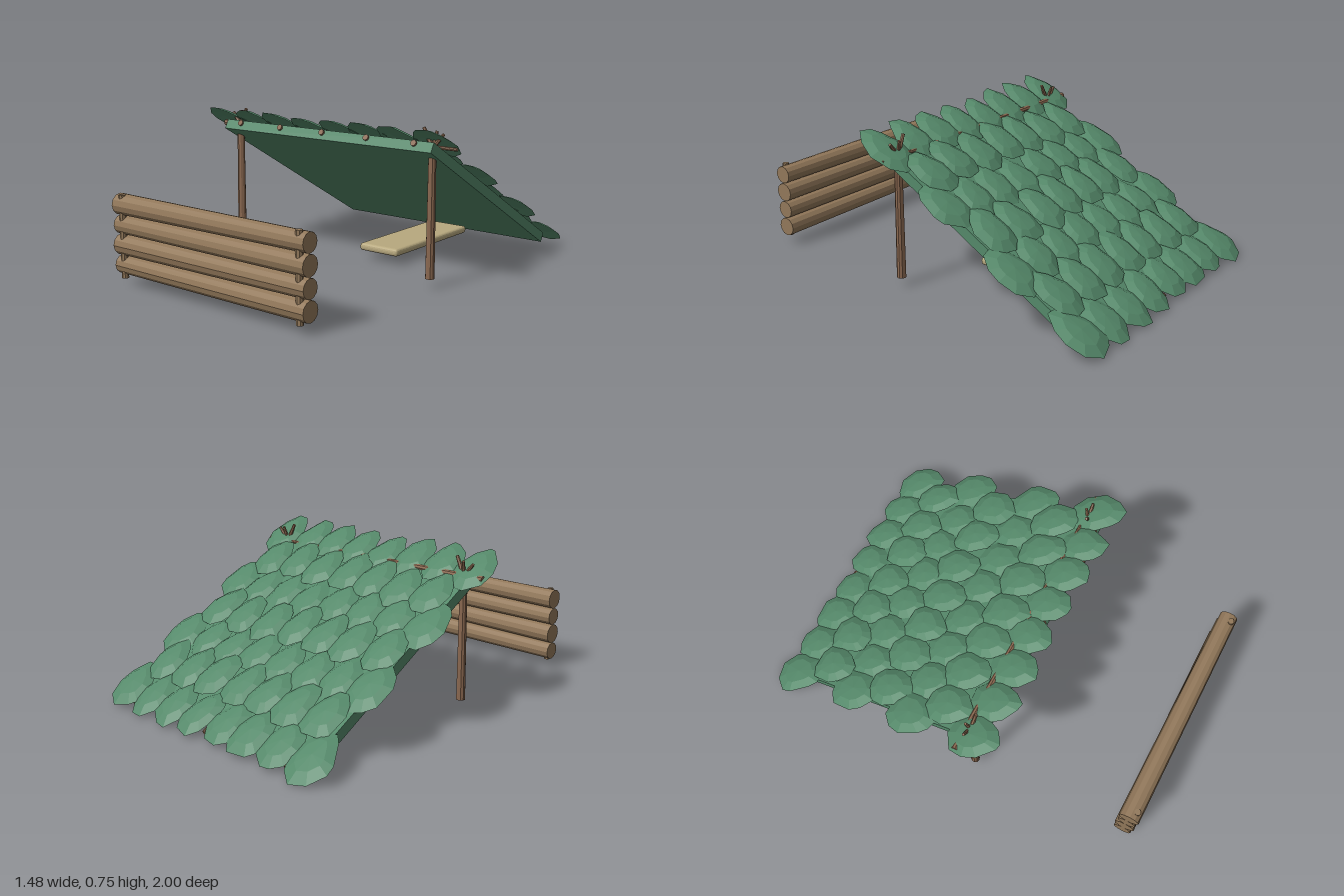
import * as THREE from 'three';
import { RoundedBoxGeometry } from 'three/addons/geometries/RoundedBoxGeometry.js';

const mat = (name, color, extra = {}) => {
  const m = new THREE.MeshStandardMaterial({ color, flatShading: true, ...extra });
  m.name = name;
  return m;
};

// Small seeded random generator
function seeded(seed) {
  return () => {
    seed = (seed * 16807) % 2147483647;
    return seed / 2147483647;
  };
}

// Tapered round bar from point a to point b
function bar(name, a, b, ra, rb, sides, material) {
  const from = new THREE.Vector3(...a), to = new THREE.Vector3(...b);
  const dir = to.clone().sub(from);
  const mesh = new THREE.Mesh(new THREE.CylinderGeometry(rb, ra, dir.length(), sides), material);
  mesh.position.copy(from).add(to).multiplyScalar(0.5);
  mesh.quaternion.setFromUnitVectors(new THREE.Vector3(0, 1, 0), dir.normalize());
  mesh.name = name;
  return mesh;
}

// Shallow domed leaf, narrower towards +z, with a slightly uneven outline
function leafGeometry(w, l, rand) {
  const n = 10, pos = [0, 0.026, 0], index = [];
  const outline = [];
  for (let i = 0; i < n; i++) {
    const a = ((i + (rand() - 0.5) * 0.5) / n) * Math.PI * 2;
    const s = Math.sin(a), r = 0.94 + rand() * 0.12;
    outline.push([w * r * Math.cos(a) * (1 - 0.22 * s), l * r * s]);
  }
  for (const [k, y] of [[0.6, 0.02], [1, 0]]) {
    for (const [x, z] of outline) pos.push(x * k, y, z * k);
  }
  for (let i = 0; i < n; i++) {
    const a = 1 + i, b = 1 + ((i + 1) % n);
    index.push(0, b, a, a, b, a + n, b, b + n, a + n);
  }
  const g = new THREE.BufferGeometry();
  g.setAttribute('position', new THREE.Float32BufferAttribute(pos, 3));
  g.setIndex(index);
  g.computeVertexNormals();
  return g;
}

export function createModel() {
  const model = new THREE.Group();
  model.name = 'leanToShelter';
  const green = mat('leafGreen', 0x55896a, { side: THREE.DoubleSide });
  const logWood = mat('logBrown', 0x92785a);
  const bark = mat('barkBrown', 0x8a6850);
  const plank = mat('paleWood', 0xb8a97f);
  const rand = seeded(4271);

  // Sloping roof: local +z runs up the slope, y = 0 is its upper surface
  const roof = new THREE.Group();
  roof.name = 'roof';
  roof.position.set(0, 0.368, -0.345);
  roof.rotation.x = -Math.PI / 6;
  model.add(roof);

  const slab = new THREE.Mesh(new THREE.BoxGeometry(1.26, 0.05, 1.224), green);
  slab.name = 'roofSlab';
  slab.position.y = -0.025;
  roof.add(slab);

  for (let i = -2; i <= 2; i++) {
    const x = i * 0.265;
    roof.add(bar('rafter', [x, -0.015, -0.68], [x, -0.015, 0.622], 0.015, 0.015, 8, bark));
  }

  // Leaf covering: wide rows below, offset rows laid over them
  for (let row = 0; row < 7; row++) {
    const over = row % 2, count = 8 - over;
    for (let i = 0; i < count; i++) {
      const x = (i - (count - 1) / 2) * 0.177;
      const outer = !over && (i === 0 || i === count - 1);
      const w = outer ? 0.11 : 0.102, l = outer ? 0.15 : 0.138;
      const leaf = new THREE.Mesh(leafGeometry(w, l, rand), green);
      leaf.name = 'leaf';
      leaf.position.set(x + (rand() - 0.5) * 0.02, 0.002 + over * 0.01 + rand() * 0.005,
        -0.6 + row * 0.2 + (rand() - 0.5) * 0.03);
      leaf.rotation.y = (rand() - 0.5) * 0.4;
      roof.add(leaf);
    }
  }

  // Ridge beam resting in the forked posts
  model.add(bar('ridgeBeam', [-0.71, 0.645, 0.12], [0.71, 0.642, 0.12], 0.017, 0.008, 8, bark));
  for (const s of [-1, 1]) {
    const post = new THREE.Group();
    post.name = 'forkedPost';
    const foot = [s * 0.59, 0.64, 0.135];
    post.add(
      bar('post', [s * 0.59, 0.04, 0.14], [s * 0.59, 0.66, 0.135], 0.022, 0.018, 10, bark),
      bar('innerProng', foot, [s * 0.545, 0.73, 0.14], 0.011, 0.008, 6, bark),
      bar('outerProng', foot, [s * 0.645, 0.705, 0.13], 0.011, 0.007, 6, bark),
      bar('rearProng', foot, [s * 0.6, 0.715, 0.115], 0.01, 0.007, 6, bark),
    );
    model.add(post);
  }

  // Log wall held by two stakes, logs tapering in alternate directions
  const wall = new THREE.Group();
  wall.name = 'logWall';
  for (let i = 0; i < 4; i++) {
    const [ra, rb] = i % 2 ? [0.05, 0.044] : [0.044, 0.047];
    wall.add(bar('log', [-0.57, 0.088 + i * 0.094, 0.947], [0.57, 0.088 + i * 0.094, 0.95], ra, rb, 12, logWood));
  }
  for (const s of [-1, 1]) {
    wall.add(bar('stake', [s * 0.53, 0.03, 0.968], [s * 0.53, 0.42, 0.968], 0.016, 0.016, 8, logWood));
  }
  model.add(wall);

  // Sleeping board under the roof
  const bed = new THREE.Mesh(new RoundedBoxGeometry(0.23, 0.038, 0.645, 2, 0.015), plank);
  bed.name = 'bedBoard';
  bed.position.set(0.14, 0.056, -0.39);
  model.add(bed);

  return model;
}
